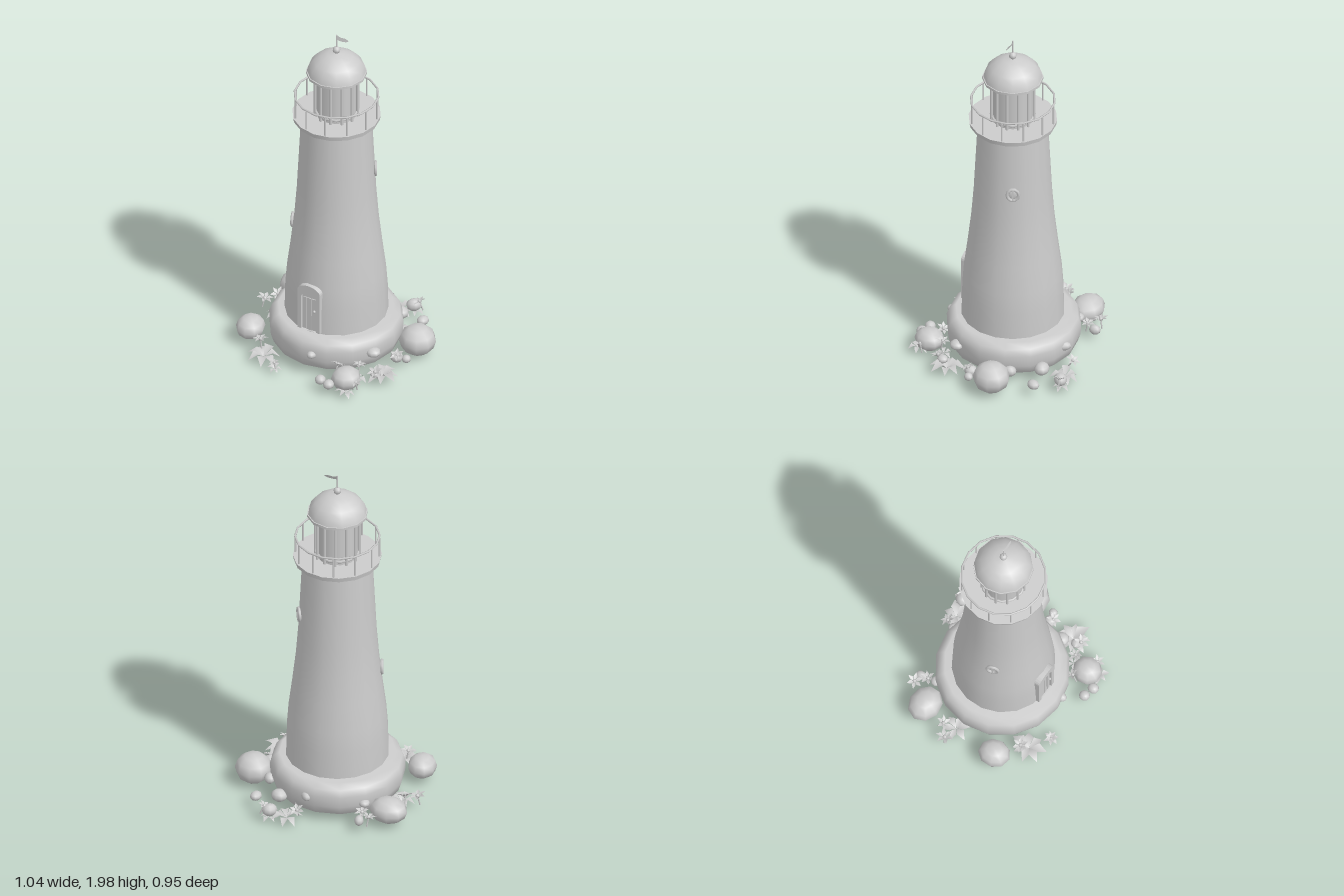
import * as THREE from 'three';

const solid = new THREE.MeshStandardMaterial({ color: 0xcccccc });
const thin = new THREE.MeshStandardMaterial({ color: 0xcccccc, side: THREE.DoubleSide });

let seed = 7;
const rand = () => (seed = (seed * 16807) % 2147483647) / 2147483647;

function add(parent, name, geo, x = 0, y = 0, z = 0, mat = solid) {
  const m = new THREE.Mesh(geo, mat);
  m.name = name;
  m.position.set(x, y, z);
  parent.add(m);
  return m;
}

function group(parent, name, x = 0, y = 0, z = 0) {
  const g = new THREE.Group();
  g.name = name;
  g.position.set(x, y, z);
  parent.add(g);
  return g;
}

// profile given as [radius, height] pairs from bottom to top
const lathe = (pts, n) => new THREE.LatheGeometry(pts.map(p => new THREE.Vector2(...p)), n);
const rod = (r, h) => new THREE.CylinderGeometry(r, r, h, 6);

// ring of upright posts
function posts(parent, name, count, radius, thick, y0, y1) {
  for (let i = 0; i < count; i++) {
    const a = ((i + 0.5) / count) * Math.PI * 2;
    add(parent, name, rod(thick, y1 - y0), Math.sin(a) * radius, (y0 + y1) / 2, Math.cos(a) * radius);
  }
}

function hoop(parent, name, radius, tube, y, sides) {
  add(parent, name, new THREE.TorusGeometry(radius, tube, 5, sides), 0, y, 0).rotation.x = Math.PI / 2;
}

function rock(parent, x, y, z, rx, ry, rz) {
  const m = add(parent, 'rock', new THREE.SphereGeometry(1, 9, 6), x, y, z);
  m.scale.set(rx, ry, rz);
  m.rotation.y = rand() * 6;
}

// folded pointed leaf of unit length along +z, arching up and then down to the tip
function leafGeometry(width, lift, tip) {
  const g = new THREE.BufferGeometry();
  g.setAttribute('position', new THREE.Float32BufferAttribute([
    0, 0, 0, width, lift, 0.5, 0, lift - 0.1, 0.52, -width, lift, 0.5, 0, tip, 1], 3));
  g.setIndex([0, 2, 1, 0, 3, 2, 1, 2, 4, 2, 3, 4]);
  g.computeVertexNormals();
  return g;
}
const broadLeaf = leafGeometry(0.27, 0.42, 0.05);
const petal = leafGeometry(0.24, 0.35, 0.3);

function leafPlant(parent, x, z, size, n) {
  const g = group(parent, 'leafPlant', x, 0.035, z);
  const turn = rand() * 6;
  for (let i = 0; i < n; i++) {
    const leaf = add(g, 'leaf', broadLeaf, 0, 0, 0, thin);
    leaf.scale.setScalar(size * (0.8 + 0.3 * rand()));
    leaf.rotation.set((rand() - 0.4) * 0.5, turn + (i / n) * Math.PI * 2, 0, 'YXZ');
  }
}

function flower(parent, x, z, y, size) {
  const g = group(parent, 'flower', x, y, z);
  g.rotation.set((rand() - 0.5) * 0.8, rand() * 6, (rand() - 0.5) * 0.8);
  for (let i = 0; i < 6; i++) {
    const p = add(g, 'petal', petal, 0, 0, 0, thin);
    p.scale.setScalar(size);
    p.rotation.y = (i / 6) * Math.PI * 2;
  }
  add(g, 'flowerCentre', new THREE.SphereGeometry(size * 0.25, 6, 4), 0, size * 0.15, 0);
  add(g, 'stem', rod(0.004, 0.05), 0, -0.025, 0);
}

// oval porthole window set on the wall at an angle around the tower
function porthole(parent, angle, y, radius) {
  const g = group(parent, 'window', Math.sin(angle) * radius, y, Math.cos(angle) * radius);
  g.rotation.y = angle;
  add(g, 'windowFrame', new THREE.TorusGeometry(0.031, 0.009, 6, 10), 0, 0, 0.008).scale.y = 1.15;
  add(g, 'windowPane', new THREE.SphereGeometry(0.028, 10, 6)).scale.set(1, 1.15, 0.35);
  add(g, 'windowBar', new THREE.BoxGeometry(0.007, 0.065, 0.01), 0, 0, 0.011);
}

// arched outline with its foot on y = 0
function arch(Type, halfWidth, height, rise) {
  const s = new Type();
  s.moveTo(-halfWidth, 0);
  s.lineTo(halfWidth, 0);
  s.lineTo(halfWidth, height - rise);
  s.absellipse(0, height - rise, halfWidth, rise, 0, Math.PI, false, 0);
  s.lineTo(-halfWidth, 0);
  return s;
}
const extrude = (shape, depth) =>
  new THREE.ExtrudeGeometry(shape, { depth, bevelEnabled: false, curveSegments: 6 });

export function createModel() {
  const root = new THREE.Group();
  root.name = 'lighthouse';

  // stone foundation and tapering tower
  add(root, 'foundation', lathe([[0, 0.05], [0.31, 0.05], [0.342, 0.07], [0.358, 0.12], [0.36, 0.18],
    [0.345, 0.22], [0.31, 0.246], [0, 0.25]], 16), -0.004, 0, -0.004);
  add(root, 'tower', lathe([[0.276, 0.235], [0.272, 0.4], [0.263, 0.52], [0.243, 0.68], [0.224, 0.85],
    [0.211, 1.02], [0.201, 1.22], [0.188, 1.48]], 18));

  // door with arched frame, planks and handle
  const door = group(root, 'door', -0.005, 0.255, 0.235);
  const frame = arch(THREE.Shape, 0.069, 0.285, 0.04);
  frame.holes.push(arch(THREE.Path, 0.045, 0.235, 0.025));
  add(door, 'doorFrame', extrude(frame, 0.047));
  add(door, 'doorPanel', extrude(arch(THREE.Shape, 0.048, 0.24, 0.025), 0.036));
  for (const x of [-0.027, 0, 0.027])
    add(door, 'doorPlank', new THREE.BoxGeometry(0.022, 0.2, 0.01), x, 0.105, 0.036);
  add(door, 'doorHandle', new THREE.SphereGeometry(0.008, 6, 5), 0.034, 0.13, 0.045);

  porthole(root, Math.atan2(-0.21, 0.08), 0.78, 0.228);
  porthole(root, Math.atan2(0.17, -0.1), 1.14, 0.2);

  // gallery deck and railing
  const gallery = group(root, 'gallery');
  add(gallery, 'deck', new THREE.CylinderGeometry(0.237, 0.232, 0.026, 16), 0, 1.487, 0);
  hoop(gallery, 'handRail', 0.224, 0.006, 1.617, 16);
  posts(gallery, 'railPost', 12, 0.224, 0.005, 1.495, 1.617);

  // lantern room
  const lantern = group(root, 'lantern');
  add(lantern, 'lanternGlass', new THREE.CylinderGeometry(0.11, 0.11, 0.27, 12), 0, 1.635, 0);
  posts(lantern, 'lanternPost', 12, 0.117, 0.008, 1.5, 1.77);
  hoop(lantern, 'lanternSill', 0.115, 0.008, 1.525, 12);

  // domed roof with finial, pole and pennant
  const roof = group(root, 'roof');
  add(roof, 'dome', lathe([[0.158, 1.768], [0.148, 1.805], [0.122, 1.838], [0.088, 1.864], [0.048, 1.881],
    [0, 1.888]], 12));
  add(roof, 'eaves', new THREE.CylinderGeometry(0.163, 0.163, 0.014, 12), 0, 1.763, 0);
  add(roof, 'finial', new THREE.SphereGeometry(0.021, 8, 6), 0, 1.905, 0);
  add(roof, 'flagPole', rod(0.004, 0.1), 0, 1.95, 0);
  const flagShape = new THREE.Shape([[0, -0.012], [0.03, -0.014], [0.06, -0.01], [0.075, 0.001],
    [0.055, 0.009], [0.025, 0.006], [0, 0.012]].map(p => new THREE.Vector2(...p)));
  add(roof, 'pennant', new THREE.ShapeGeometry(flagShape), 0, 1.985, 0, thin).rotation.x = -0.3;

  // boulders and small stones: x, y, z, then radii
  const ground = group(root, 'groundCover');
  for (const r of [
    [-0.38, 0.105, -0.24, 0.104, 0.07, 0.088], [0.43, 0.112, -0.12, 0.1, 0.085, 0.1],
    [-0.4, 0.105, 0.22, 0.088, 0.065, 0.078], [0.27, 0.09, 0.355, 0.082, 0.062, 0.078],
    [0.34, 0.08, -0.325, 0.036, 0.025, 0.03], [0.215, 0.1, -0.305, 0.045, 0.035, 0.04],
    [0.32, 0.1, -0.17, 0.035, 0.03, 0.03], [0.15, 0.075, 0.42, 0.03, 0.026, 0.03],
    [0.21, 0.075, 0.435, 0.032, 0.026, 0.03], [0.32, 0.155, 0.155, 0.04, 0.026, 0.04],
    [0.44, 0.07, 0.015, 0.025, 0.022, 0.024], [0.225, 0.08, -0.425, 0.042, 0.035, 0.035],
    [-0.255, 0.08, -0.355, 0.032, 0.028, 0.025], [0.05, 0.155, 0.338, 0.034, 0.023, 0.026],
    [0.05, 0.16, -0.345, 0.04, 0.025, 0.024], [0.39, 0.075, 0.03, 0.035, 0.03, 0.035],
    [0.37, 0.07, 0.215, 0.03, 0.022, 0.03], [-0.25, 0.13, -0.26, 0.03, 0.022, 0.03],
  ]) rock(ground, ...r);

  // broad-leaved plants: x, z, size, leaf count
  for (const p of [[0.14, -0.4, 0.085, 7], [0.39, 0.18, 0.1, 8], [-0.25, 0.34, 0.1, 7],
    [-0.38, -0.04, 0.075, 6], [-0.14, 0.41, 0.045, 6], [0.3, 0.41, 0.06, 6], [0.23, -0.43, 0.055, 5],
    [0.28, 0.26, 0.06, 5]]) leafPlant(ground, ...p);

  // star flowers: x, z, height, size
  for (const f of [[-0.31, -0.36, 0.11, 0.045], [-0.255, -0.31, 0.1, 0.042], [0.075, -0.41, 0.1, 0.042],
    [0.255, -0.435, 0.1, 0.04], [-0.475, -0.05, 0.09, 0.05], [-0.42, -0.1, 0.11, 0.045],
    [-0.285, 0.31, 0.11, 0.045], [0.4, 0.04, 0.09, 0.042], [0.195, 0.315, 0.12, 0.042],
    [0.295, 0.26, 0.12, 0.04], [0.38, 0.235, 0.09, 0.045], [0.34, 0.37, 0.09, 0.04],
    [-0.14, 0.41, 0.07, 0.032]]) flower(ground, ...f);

  return root;
}
